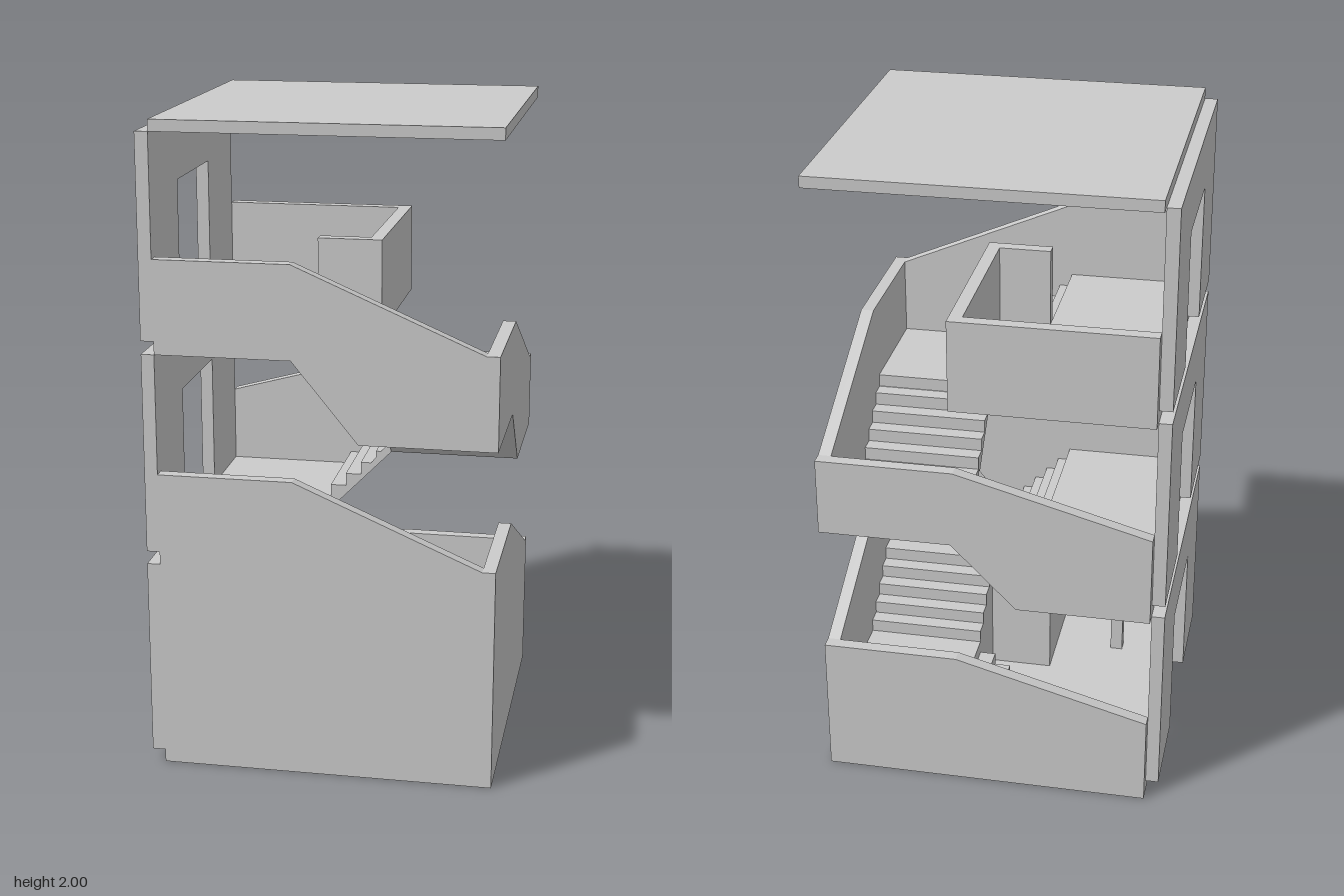
import * as THREE from 'three';

const STOREY = 0.655;   // floor to floor
const T = 0.04;         // wall and slab thickness
const IN = -0.08, OUT = 0.12, W = 0.1;  // edges of the central well

const material = new THREE.MeshStandardMaterial({ color: 0xcccccc, flatShading: true, side: THREE.DoubleSide });

export function createModel() {
  const model = new THREE.Group();
  model.name = 'stairTower';

  const add = (name, geometry) => {
    const mesh = new THREE.Mesh(geometry, material);
    mesh.name = name;
    model.add(mesh);
  };
  const box = (name, x0, x1, y0, y1, z0, z1) => {
    const g = new THREE.BoxGeometry(x1 - x0, y1 - y0, z1 - z0);
    g.translate((x0 + x1) / 2, (y0 + y1) / 2, (z0 + z1) / 2);
    add(name, g);
  };
  const extrude = (points, depth, holes = []) => {
    const shape = new THREE.Shape(points.map(p => new THREE.Vector2(...p)));
    holes.forEach(h => shape.holes.push(new THREE.Path(h.map(p => new THREE.Vector2(...p)))));
    return new THREE.ExtrudeGeometry(shape, { depth, bevelEnabled: false });
  };
  // Profile in (x, y), thick from z0 to z1
  const alongX = (name, points, z0, z1) => add(name, extrude(points, z1 - z0).translate(0, 0, z0));
  // Profile in (z, y), thick from x0 to x1
  const alongZ = (name, points, x0, x1, holes) =>
    add(name, extrude(points, x1 - x0, holes).rotateY(-Math.PI / 2).translate(x1, 0, 0));

  // Stepped flight from (u0, low floor) to (u1, high floor), soffit sloping or filled down to base
  const flight = (u0, u1, low, high, risers, base) => {
    const pts = [[u0, low]];
    const rise = (high - low) / risers, run = (u1 - u0) / (risers - 1);
    for (let i = 1; i < risers; i++) {
      pts.push([u0 + run * (i - 1), low + rise * i], [u0 + run * i, low + rise * i]);
    }
    pts.push([u1, high]);
    if (base === undefined) pts.push([u1, high - T], [u0, low - T]);
    else pts.push([u1, base], [u0, base]);
    return pts;
  };

  for (let s = 0; s < 2; s++) {
    const y = s * STOREY, ground = s === 0;
    const f0 = y + T, f1 = y + 0.245, f2 = y + 0.45, f3 = y + STOREY + T;
    const base = ground ? T : undefined;

    // Floor and corner landings
    if (ground) box('groundFloor', -0.49, 0.49, 0, T, -0.47, 0.47);
    else box('landing', -0.49, IN, y, f0, -0.47, 0.47);
    box('backCornerLanding', OUT, 0.49, ground ? T : f1 - T, f1, -0.47, -W);
    box('frontCornerLanding', OUT, 0.49, ground ? T : f2 - T, f2, W, 0.47);

    // Three flights around the well
    alongX('backFlight', flight(IN, OUT, f0, f1, 5, base), -0.47, -W);
    alongZ('sideFlight', flight(-W, W, f1, f2, 5, base), OUT, 0.49);
    alongX('frontFlight', flight(OUT, IN, f2, f3, 6, base), W, 0.47);

    // Parapets following the flights
    const under = pts => ground ? [[pts[0][0], 0], [pts[pts.length - 1][0], 0]] : pts;
    alongX('backParapet', [
      ...under([[-0.49, y], [IN, y], [OUT, f1 - T], [0.53, f1 - T]]),
      [0.53, y + 0.45], [0.11, y + 0.45], [-0.49, y + 0.285],
    ], -0.51, -0.47);
    alongZ('sideParapet', [
      ...under([[-0.47, f1 - T], [-W, f1 - T], [W, f2 - T], [0.47, f2 - T]]),
      [0.47, y + 0.695], [0.06, y + 0.695], [-0.47, y + 0.45],
    ], 0.49, 0.53);
    alongX('frontParapet', [
      ...under([[-0.49, f3 - T], [IN, f3 - T], [OUT, f2 - T], [0.53, f2 - T]]),
      [0.53, y + 0.695], [0.49, y + 0.695], [IN, y + 0.94], [-0.49, y + 0.94],
    ], 0.47, 0.51);
  }

  // Top landing, with a railing wall round the end of the stairwell
  const top = 2 * STOREY, rail = 1.595;
  box('topLanding', -0.49, IN, top, top + T, -0.47, 0.47);
  box('topLandingBay', IN, OUT - T, top, top + T, -0.47, W - T);
  box('topBackParapet', -0.49, OUT, top, rail, -0.51, -0.47);
  box('topSideParapet', OUT - T, OUT, top, rail, -0.47, W);
  box('topStubParapet', IN, OUT - T, top, rail, W - T, W);

  // Door walls, one per storey
  for (let s = 0; s < 3; s++) {
    const y0 = s * STOREY + T, y1 = s * STOREY + 0.655, head = y0 + 0.43;
    alongZ('doorWall', [
      [-0.47, y0], [-0.165, y0], [-0.165, head], [0.205, head],
      [0.205, y0], [0.51, y0], [0.51, y1], [-0.47, y1],
    ], -0.53, -0.49);
  }

  // Post under the first landing
  box('post', -0.31, -0.27, T, STOREY, 0.25, 0.29);

  // Roof slab
  box('roof', -0.49, 0.53, 1.965, 2, -0.51, 0.51);
  return model;
}
